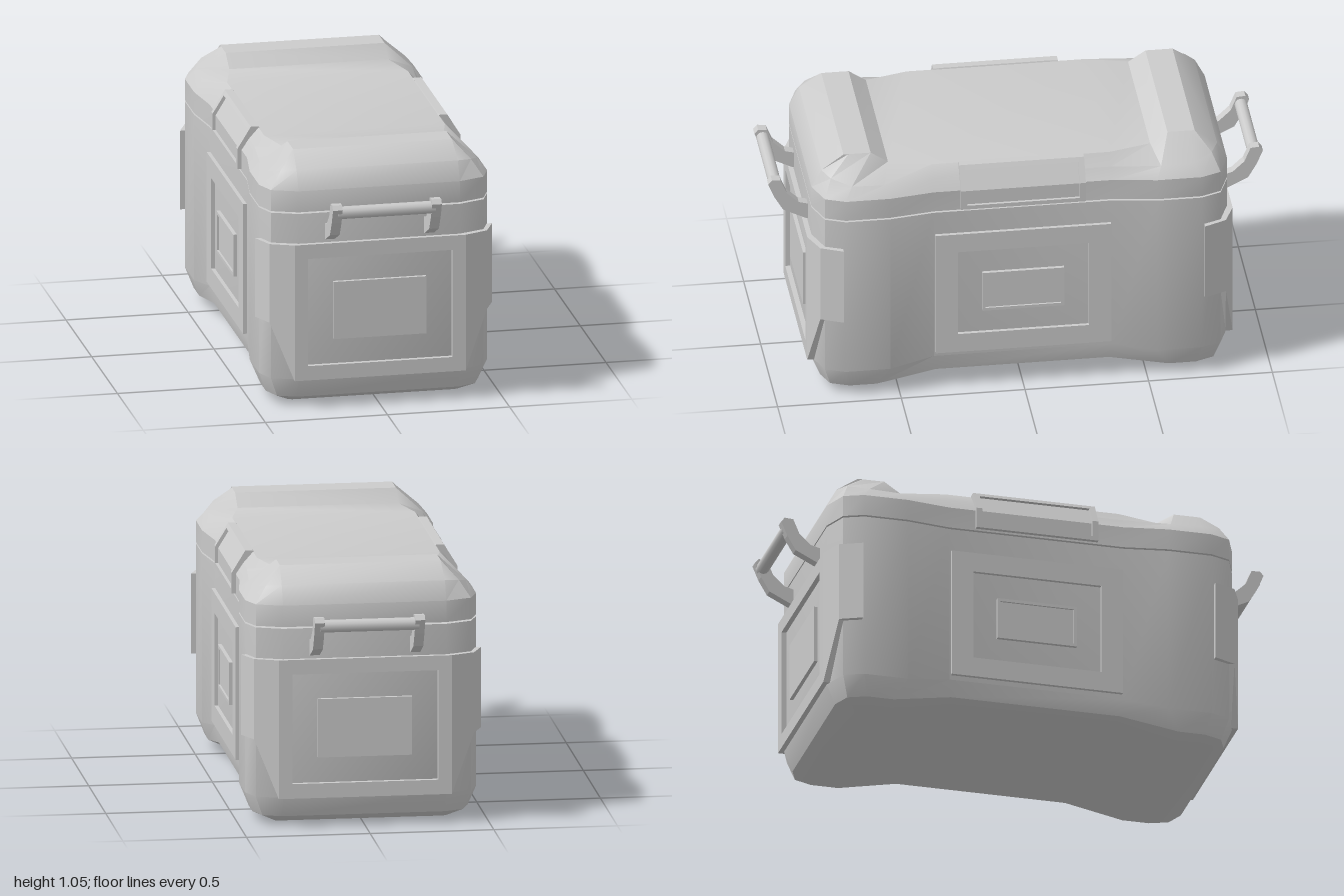
import * as THREE from 'three';
import { toCreasedNormals } from 'three/addons/utils/BufferGeometryUtils.js';

const material = new THREE.MeshStandardMaterial({ color: 0xcccccc });

function add(parent, name, geometry, x = 0, y = 0, z = 0) {
  const mesh = new THREE.Mesh(geometry, material);
  mesh.name = name;
  mesh.position.set(x, y, z);
  parent.add(mesh);
  return mesh;
}

// Closed skin through a list of rings, capped with strips at both ends
function skin(rings, crease = 0.5) {
  const n = rings[0].length;
  const pos = [];
  const quad = (a, b, c, d) => pos.push(...a, ...b, ...c, ...a, ...c, ...d);
  for (let k = 0; k < rings.length - 1; k++) {
    const lo = rings[k], hi = rings[k + 1];
    for (let i = 0; i < n; i++) {
      const j = (i + 1) % n;
      quad(lo[i], lo[j], hi[j], hi[i]);
    }
  }
  const first = rings[0], last = rings[rings.length - 1];
  for (let i = 0; i < n / 2 - 1; i++) {
    const j = i + 1;
    quad(last[i], last[j], last[n - 1 - j], last[n - 1 - i]);
    quad(first[n - 1 - i], first[n - 1 - j], first[j], first[i]);
  }
  const g = new THREE.BufferGeometry();
  g.setAttribute('position', new THREE.Float32BufferAttribute(pos, 3));
  return toCreasedNormals(g, crease);
}

// Mirror a quarter outline of [x, y, z] points into a full ring
function fullRing(quarter) {
  const half = [...quarter, ...quarter.map(([x, y, z]) => [x, y, -z]).reverse()];
  return [...half, ...half.map(([x, y, z]) => [-x, y, z]).reverse()];
}

// Waisted plan outline with chamfered corners, at height y (waist at waistY)
const plan = (y, waistY = y) => fullRing([
  [0.33, y, 0.84], [0.435, y, 0.80], [0.467, y, 0.72], [0.467, y, 0.54], [0.44, waistY, 0.36],
]);

const rect = (P, w, h) => {
  const p = new P();
  p.moveTo(-w / 2, -h / 2);
  p.lineTo(w / 2, -h / 2);
  p.lineTo(w / 2, h / 2);
  p.lineTo(-w / 2, h / 2);
  p.closePath();
  return p;
};

// Flat rectangular frame in the xy plane; the opening may be shifted upward
function frame(w, h, iw, ih, depth, shift = 0) {
  const shape = rect(THREE.Shape, w, h);
  const hole = rect(THREE.Path, iw, ih).getPoints().map((p) => p.setY(p.y + shift));
  shape.holes.push(new THREE.Path(hole));
  return new THREE.ExtrudeGeometry(shape, { depth, bevelEnabled: false });
}

// Extrude an [a, b] profile across a centred width
function slab(points, width) {
  const shape = new THREE.Shape(points.map(([a, b]) => new THREE.Vector2(a, b)));
  return new THREE.ExtrudeGeometry(shape, { depth: width, bevelEnabled: false })
    .translate(0, 0, -width / 2);
}

// Handle and guard plate for one end, built facing +z
function makeEnd() {
  const end = new THREE.Group();

  add(end, 'guardPlate', frame(0.70, 0.57, 0.59, 0.45, 0.03), 0, 0.405, 0.83);
  add(end, 'guardPad', new THREE.BoxGeometry(0.38, 0.24, 0.03), 0, 0.405, 0.84);

  // Wrapped corners: [outer x, outer z, inner x, inner z, bottom y]
  const wrap = [
    [0.35, 0.86, 0.35, 0.83, 0.12], [0.445, 0.82, 0.435, 0.795, 0.36], [0.485, 0.73, 0.46, 0.73, 0.36],
  ];
  for (const s of [1, -1]) {
    const rings = wrap.map(([ox, oz, ix, iz, b]) => [
      [s * ix, b, iz], [s * ix, 0.69, iz], [s * ox, 0.69, oz], [s * ox, b, oz],
    ]);
    if (s < 0) rings.reverse();
    add(end, 'guardCorner', skin(rings, 0.3));
  }

  // Carry handle: two hooked arms and a bar
  const arm = [
    [0.82, 0.70], [0.85, 0.705], [0.94, 0.75], [0.975, 0.81], [1.0, 0.87], [0.985, 0.888],
    [0.95, 0.885], [0.925, 0.825], [0.877, 0.78], [0.82, 0.765],
  ];
  for (const s of [1, -1]) {
    const mesh = add(end, 'handleArm', slab(arm, 0.04), s * 0.203, 0, 0);
    mesh.rotation.y = -Math.PI / 2;
  }
  const bar = add(end, 'handleBar', new THREE.CylinderGeometry(0.026, 0.026, 0.4, 12), 0, 0.85, 0.967);
  bar.rotation.z = Math.PI / 2;
  return end;
}

// Side panel and lid latch, built facing +x
function makeSide() {
  const side = new THREE.Group();

  const panel = new THREE.Group();
  panel.name = 'sidePanel';
  panel.rotation.y = Math.PI / 2;
  side.add(panel);
  add(panel, 'panelFrame', frame(0.71, 0.545, 0.53, 0.38, 0.035), 0, 0.4425, 0.42);
  add(panel, 'badgeRim', frame(0.33, 0.175, 0.305, 0.15, 0.03), 0, 0.44, 0.425);
  add(panel, 'badgeFace', new THREE.BoxGeometry(0.31, 0.155, 0.02), 0, 0.44, 0.437);

  // Latch: recessed core, two full-depth ends, top and bottom rails
  const outer = [[0.36, 0.83], [0.457, 0.83], [0.457, 0.915], [0.402, 1.005], [0.37, 1.005], [0.36, 0.99]];
  const core = [[0.36, 0.835], [0.445, 0.835], [0.445, 0.908], [0.392, 0.995], [0.36, 0.995]];
  const topRail = [[0.36, 0.985], [0.412, 0.989], [0.402, 1.005], [0.37, 1.005]];
  const bottomRail = [[0.36, 0.83], [0.457, 0.83], [0.457, 0.847], [0.36, 0.847]];
  add(side, 'latchCore', slab(core, 0.48));
  add(side, 'latchTopRail', slab(topRail, 0.46));
  add(side, 'latchBottomRail', slab(bottomRail, 0.46));
  for (const s of [1, -1]) add(side, 'latchEnd', slab(outer, 0.025), 0, 0, s * 0.24);
  return side;
}

export function createModel() {
  const model = new THREE.Group();
  model.name = 'coolBox';

  // Tub with an arched, bevelled underside
  add(model, 'body', skin([
    fullRing([[0.33, 0, 0.72], [0.345, 0, 0.715], [0.35, 0, 0.70], [0.35, 0, 0.59], [0.35, 0.05, 0.35]]),
    fullRing([[0.33, 0.037, 0.805], [0.405, 0.037, 0.775], [0.435, 0.037, 0.70], [0.435, 0.037, 0.59], [0.425, 0.08, 0.35]]),
    plan(0.12, 0.15),
    plan(0.815),
  ]));

  // Lid with raised ends and a lower flat middle
  add(model, 'lid', skin([
    plan(0.822),
    plan(0.91),
    fullRing([[0.33, 0.985, 0.80], [0.39, 0.978, 0.77], [0.43, 0.957, 0.69], [0.43, 0.953, 0.56], [0.41, 0.955, 0.36]]),
    fullRing([[0.325, 1.047, 0.71], [0.325, 1.047, 0.69], [0.325, 1.047, 0.60], [0.325, 1.0, 0.53], [0.37, 1.0, 0.36]]),
  ]));

  // Matching ends and sides
  for (const [i, angle] of [0, Math.PI].entries()) {
    const end = makeEnd();
    end.name = ['frontEnd', 'backEnd'][i];
    end.rotation.y = angle;
    const side = makeSide();
    side.name = ['leftSide', 'rightSide'][i];
    side.rotation.y = angle;
    model.add(end, side);
  }
  return model;
}
